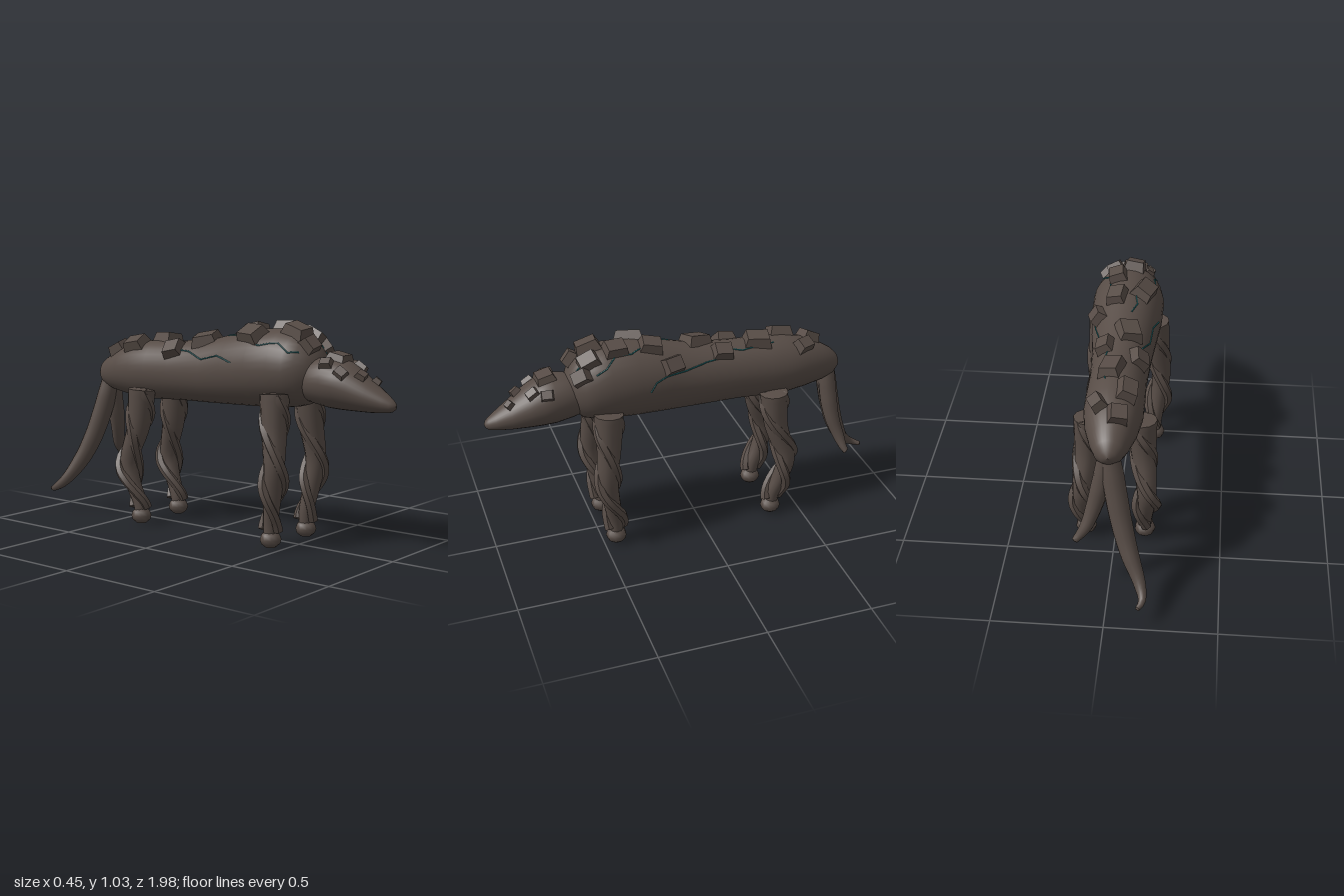
import * as THREE from 'three';
import { toCreasedNormals } from 'three/addons/utils/BufferGeometryUtils.js';

const bark = new THREE.MeshStandardMaterial({ color: 0x574c46 });
bark.name = 'dark bark';
const teal = new THREE.MeshStandardMaterial({ color: 0x1d6468 });
teal.name = 'teal vein';

// Elliptical cross-sections, front to back: [z, centre y, half width, half height]
const BODY = [
  [0.63, 0.8, 0.002, 0.002], [0.62, 0.8, 0.05, 0.055], [0.595, 0.805, 0.1, 0.11], [0.55, 0.81, 0.142, 0.152],
  [0.5, 0.815, 0.162, 0.17], [0.43, 0.817, 0.174, 0.18], [0.3, 0.81, 0.172, 0.181], [0.15, 0.795, 0.157, 0.17],
  [0, 0.775, 0.141, 0.153], [-0.2, 0.765, 0.131, 0.145], [-0.35, 0.76, 0.134, 0.147], [-0.45, 0.755, 0.133, 0.143],
  [-0.55, 0.75, 0.118, 0.124], [-0.64, 0.737, 0.09, 0.096], [-0.7, 0.728, 0.065, 0.065],
  [-0.73, 0.725, 0.035, 0.035], [-0.74, 0.725, 0.002, 0.002],
];
const HEAD = [
  [1, 0.685, 0.002, 0.002], [0.994, 0.685, 0.018, 0.016], [0.98, 0.687, 0.03, 0.028], [0.95, 0.695, 0.046, 0.041],
  [0.88, 0.717, 0.076, 0.067], [0.8, 0.745, 0.104, 0.095], [0.74, 0.762, 0.12, 0.111], [0.68, 0.77, 0.125, 0.116],
  [0.6, 0.77, 0.11, 0.103], [0.5, 0.77, 0.08, 0.08],
];

// Point on a lofted skin; the angle is measured from the top towards +x
function skin(rows, z, a) {
  let i = 0;
  while (i < rows.length - 2 && rows[i + 1][0] > z) i++;
  const t = (rows[i][0] - z) / (rows[i][0] - rows[i + 1][0]);
  const [cy, w, h] = [1, 2, 3].map((k) => THREE.MathUtils.lerp(rows[i][k], rows[i + 1][k], t));
  return new THREE.Vector3(w * Math.sin(a), cy + h * Math.cos(a), z);
}

function loft(rows, n = 32) {
  const pos = [], idx = [];
  rows.forEach(([z], i) => {
    for (let j = 0; j < n; j++) {
      pos.push(...skin(rows, z, (j / n) * Math.PI * 2).toArray());
      if (i === rows.length - 1) continue;
      const a = i * n + j, b = i * n + ((j + 1) % n);
      idx.push(a, b, a + n, b, b + n, a + n);
    }
  });
  const g = new THREE.BufferGeometry();
  g.setAttribute('position', new THREE.Float32BufferAttribute(pos, 3));
  g.setIndex(idx);
  g.computeVertexNormals();
  return g;
}

// Tube with varying radius and closed ends
function limb(points, radii, sides = 10, seg = 24) {
  const curve = new THREE.CatmullRomCurve3(points);
  const g = new THREE.TubeGeometry(curve, seg, 1, sides);
  const p = g.attributes.position, v = new THREE.Vector3();
  for (let i = 0; i <= seg; i++) {
    const end = i === 0 || i === seg;
    const k = Math.min(Math.max(i, 1), seg - 1);
    const u = (i / seg) * (radii.length - 1), f = Math.min(Math.floor(u), radii.length - 2);
    const r = end ? 0.0005 : THREE.MathUtils.lerp(radii[f], radii[f + 1], u - f);
    const own = curve.getPointAt(i / seg);
    const c = end ? own.clone().lerp(curve.getPointAt(k / seg), 0.8) : own;
    for (let j = 0; j <= sides; j++) {
      const n = i * (sides + 1) + j;
      v.fromBufferAttribute(p, n).sub(own).multiplyScalar(r).add(c);
      p.setXYZ(n, v.x, v.y, v.z);
    }
  }
  return toCreasedNormals(g, 0.9);
}

const vecs = (list) => list.map((a) => new THREE.Vector3(...a));

export function createModel() {
  const model = new THREE.Group();
  const add = (name, geo, mat = bark, parent = model) => {
    const m = new THREE.Mesh(geo, mat);
    m.name = name;
    parent.add(m);
    return m;
  };

  add('body', loft(BODY));
  add('head', loft(HEAD));

  // Bevelled square plates seated on the skin: [x, z, width, length, yaw]
  const plateGeo = toCreasedNormals(new THREE.CylinderGeometry(0.56, 0.707, 1, 4, 1, false, Math.PI / 4), 0.1);
  function plates(name, rows, list, height) {
    for (const [x, z, w, l, yaw] of list) {
      const half = skin(rows, z, Math.PI / 2).x;
      const a = Math.asin(THREE.MathUtils.clamp(x / half, -0.97, 0.97));
      const p = skin(rows, z, a);
      const along = skin(rows, z + 0.03, a).sub(skin(rows, z - 0.03, a)).normalize();
      const across = skin(rows, z, a + 0.05).sub(skin(rows, z, a - 0.05)).normalize();
      const up = along.clone().cross(across).normalize();
      const m = add(name, plateGeo);
      m.quaternion.setFromRotationMatrix(new THREE.Matrix4().makeBasis(up.clone().cross(along), up, along));
      m.rotateY(yaw);
      m.position.copy(p).addScaledVector(up, height * 0.2);
      m.scale.set(w, height, l);
    }
  }
  plates('backPlate', BODY, [
    [-0.03, -0.59, 0.09, 0.09, 0.15], [0.06, -0.53, 0.07, 0.09, 0.4], [-0.06, -0.45, 0.09, 0.12, 0.05],
    [0.02, -0.31, 0.1, 0.13, -0.2], [-0.09, -0.18, 0.09, 0.1, 0.2], [0.065, -0.12, 0.08, 0.1, -0.05],
    [-0.035, -0.02, 0.11, 0.13, 0.3], [0.12, 0.14, 0.08, 0.1, 0.3], [0.04, 0.22, 0.09, 0.11, -0.15],
    [-0.085, 0.29, 0.1, 0.14, -0.3], [0.05, 0.39, 0.09, 0.11, 0.1], [-0.025, 0.5, 0.1, 0.12, -0.1],
    [0.07, 0.52, 0.08, 0.1, 0.15], [-0.04, 0.575, 0.08, 0.08, -0.1], [0.1, 0.56, 0.07, 0.09, 0.1],
  ], 0.05);
  plates('headPlate', HEAD, [
    [0, 0.71, 0.1, 0.09, 0.05], [-0.085, 0.77, 0.05, 0.06, -0.2], [0.06, 0.78, 0.045, 0.06, 0.2],
    [-0.03, 0.84, 0.05, 0.05, 0.2], [0.03, 0.88, 0.04, 0.04, 0.4], [0.095, 0.72, 0.05, 0.06, -0.2],
    [-0.08, 0.69, 0.05, 0.06, 0.3],
  ], 0.03);

  // Thin glowing veins that follow the skin: [z, degrees from the top]
  const veins = [
    [[0.26, 90], [0.23, 76], [0.18, 68], [0.08, 60], [-0.03, 46], [-0.08, 43], [-0.16, 22]],
    [[0.5, 54], [0.45, 47], [0.4, 30], [0.32, 28], [0.24, 12]],
    [[0.49, 24], [0.54, 28], [0.57, 30], [0.6, 46]],
    [[-0.14, 20], [-0.22, 29], [-0.3, 24], [-0.4, 18]],
    [[0.56, -50], [0.52, -58], [0.46, -46], [0.36, -52], [0.26, -40]],
    [[0.22, -78], [0.12, -64], [0.02, -66], [-0.08, -48], [-0.18, -42]],
    [[0.25, -16], [0.18, -22], [0.1, -12]],
  ];
  for (const list of veins) {
    const pts = [];
    for (let i = 0; i < list.length - 1; i++) {
      for (let k = 0; k < 6; k++) {
        const [z, d] = [0, 1].map((c) => THREE.MathUtils.lerp(list[i][c], list[i + 1][c], k / 6));
        pts.push(skin(BODY, z, THREE.MathUtils.degToRad(d)));
      }
    }
    add('vein', new THREE.TubeGeometry(new THREE.CatmullRomCurve3(pts), 60, 0.0035, 5), teal);
  }

  // Legs: a core with two roots twisting round it, ending in a knobbly foot
  const legPaths = {
    frontLeg: [[0.13, 0.74, 0.45], [0.145, 0.55, 0.46], [0.165, 0.38, 0.475], [0.155, 0.25, 0.46], [0.14, 0.12, 0.44], [0.14, 0.03, 0.44]],
    rearLeg: [[0.12, 0.7, -0.36], [0.13, 0.5, -0.375], [0.15, 0.31, -0.425], [0.147, 0.2, -0.4], [0.14, 0.11, -0.365], [0.14, 0.03, -0.355]],
  };
  for (const [name, path] of Object.entries(legPaths)) {
    for (const side of [1, -1]) {
      const leg = new THREE.Group();
      leg.name = name;
      model.add(leg);
      const pts = vecs(path.map(([x, y, z]) => [x * side, y, z]));
      add('legCore', limb(pts, [0.07, 0.064, 0.056, 0.048, 0.042, 0.036, 0.03], 12), bark, leg);
      const core = new THREE.CatmullRomCurve3(pts);
      for (const phase of [0, Math.PI]) {
        const twist = [];
        for (let i = 0; i <= 12; i++) {
          const t = 0.02 + (i / 12) * 0.93;
          const a = Math.PI / 2 + 1.25 - t * 8.5 + phase;
          const r = 0.043 + 0.006 * Math.sin(t * 12);
          twist.push(core.getPointAt(t).add(new THREE.Vector3(Math.cos(a) * r, 0, Math.sin(a) * r)));
        }
        add('legRoot', limb(twist, [0.024, 0.028, 0.027, 0.025, 0.024, 0.025], 6, 30), bark, leg);
      }
      const foot = add('foot', toCreasedNormals(new THREE.SphereGeometry(0.05, 9, 6), 0.9), bark, leg);
      foot.position.set(pts[5].x, 0.046, pts[5].z);
      foot.scale.y = 0.85;
    }
  }

  // Two drooping tails
  add('longTail', limb(vecs([[0, 0.74, -0.675], [-0.02, 0.6, -0.7], [-0.06, 0.4, -0.755], [-0.1, 0.27, -0.81],
    [-0.15, 0.16, -0.88], [-0.165, 0.115, -0.94], [-0.135, 0.1, -1]]), [0.04, 0.05, 0.05, 0.047, 0.04, 0.026, 0.007], 12, 32));
  add('shortTail', limb(vecs([[0.01, 0.72, -0.68], [0.025, 0.6, -0.685], [0.06, 0.45, -0.7], [0.1, 0.34, -0.73],
    [0.145, 0.28, -0.75], [0.158, 0.27, -0.765]]), [0.035, 0.042, 0.042, 0.036, 0.028, 0.012], 12, 28));

  return model;
}
